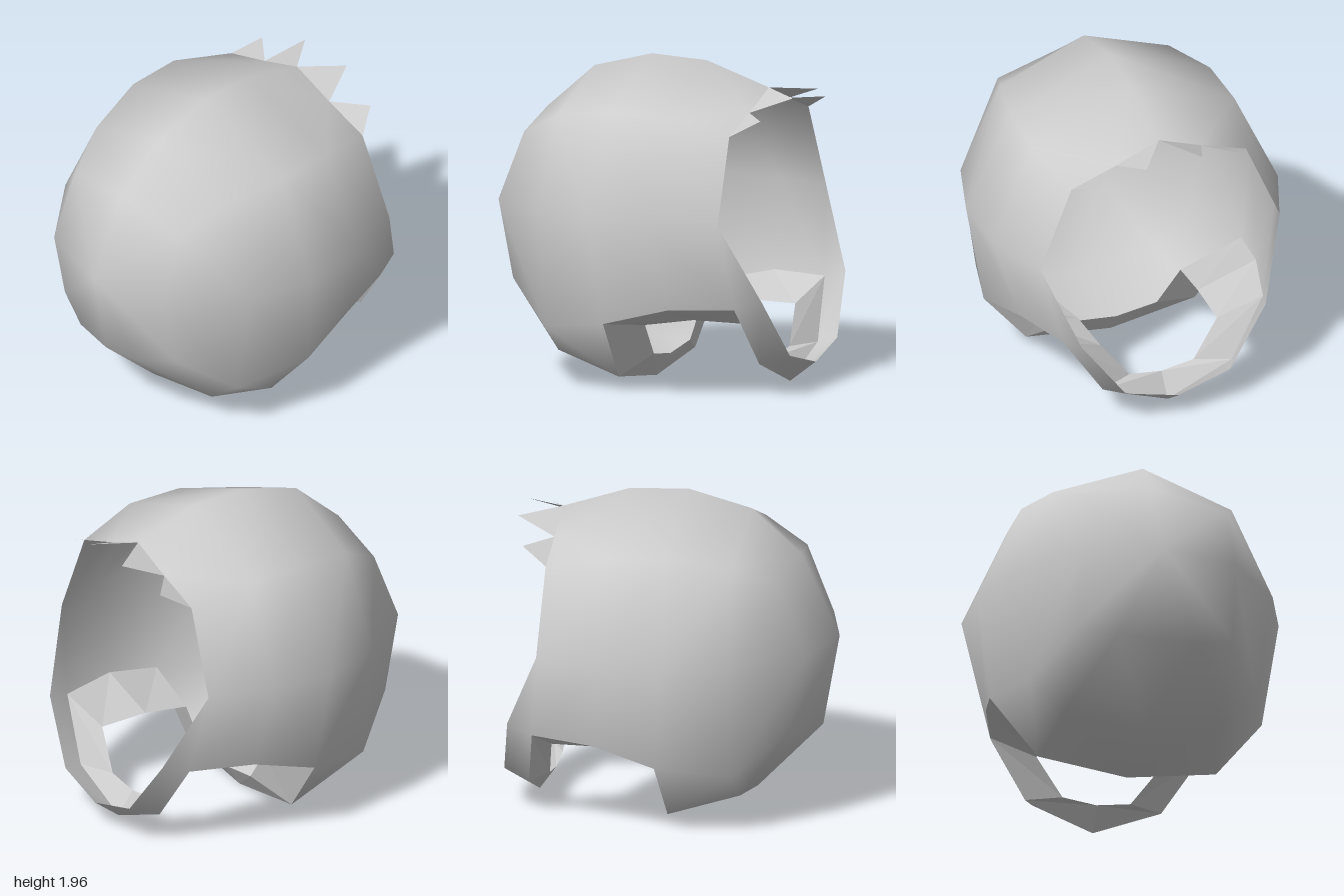
import * as THREE from 'three';
import { mergeVertices } from 'three/addons/utils/BufferGeometryUtils.js';

const CENTRE = new THREE.Vector3(0, 1, 0);

// Collects the faces of the +x half, mirrors them and turns them outward.
function mirroredSurface(faces, flat) {
  const positions = [];
  const addTriangle = (pts) => {
    const [a, b, c] = pts.map((p) => new THREE.Vector3(...p));
    const normal = b.clone().sub(a).cross(c.clone().sub(a));
    if (normal.lengthSq() < 1e-10) return;
    const mid = a.clone().add(b).add(c).divideScalar(3).sub(CENTRE);
    const order = normal.dot(mid) < 0 ? [a, c, b] : [a, b, c];
    order.forEach((v) => positions.push(v.x, v.y, v.z));
  };
  const mirror = ([x, y, z]) => [-x, y, z];
  for (const face of faces) {
    for (let i = 1; i < face.length - 1; i++) {
      const tri = [face[0], face[i], face[i + 1]];
      addTriangle(tri);
      addTriangle(tri.map(mirror));
    }
  }
  let geometry = new THREE.BufferGeometry();
  geometry.setAttribute('position', new THREE.Float32BufferAttribute(positions, 3));
  if (!flat) geometry = mergeVertices(geometry, 1e-4);
  geometry.computeVertexNormals();
  return geometry;
}

// Quads between two equally long rows of points
function strip(a, b) {
  const faces = [];
  for (let i = 0; i < Math.min(a.length, b.length) - 1; i++) {
    faces.push([a[i], a[i + 1], b[i + 1], b[i]]);
  }
  return faces;
}

export function createModel() {
  const group = new THREE.Group();
  const shellGrey = new THREE.MeshStandardMaterial({ color: 0xcccccc, side: THREE.DoubleSide });
  shellGrey.name = 'shellGrey';

  // Neck opening: outer edge and inner edge, from the closed side to the chin
  const neckOuter = [
    [0, 0, 0.05], [0.55, 0.08, 0.05], [0.84, 0.45, 0.02], [0.77, 0.55, -0.37],
    [0.65, 0.56, -0.76], [0.42, 0.2, -0.82], [0, 0.03, -0.83],
  ];
  const neckInner = [
    [0, 0.14, -0.04], [0.26, 0.18, -0.05], [0.41, 0.38, -0.06], [0.39, 0.43, -0.37],
    [0.38, 0.43, -0.69], [0.21, 0.2, -0.73], [0, 0.17, -0.73],
  ];

  // Cross-section rows of the dome, each running from crown to base
  const nose = [0, 1.09, 1.0];
  const rows = [
    [[0, 1.59, 0.77], [0.45, 1.51, 0.72], [0.47, 1.09, 0.88],
      [0.48, 0.62, 0.78], [0.25, 0.55, 0.87], [0, 0.53, 0.9]],
    [[0, 1.86, 0.46], [0.55, 1.65, 0.45], [0.8, 1.09, 0.47],
      [0.7, 0.38, 0.47], [0.48, 0.2, 0.48], [0, 0.12, 0.5]],
    [[0, 1.96, 0.08], [0.65, 1.71, 0.05], [0.93, 1.09, 0.08],
      neckOuter[2], neckOuter[1], neckOuter[0]],
    [[0, 1.945, -0.28], [0.66, 1.7, -0.3], [0.93, 1.09, -0.33], neckOuter[3]],
  ];

  // Edge of the large opening
  const brow = [[0, 1.81, -0.69], [0.28, 1.7, -0.69], [0.57, 1.6, -0.69]];
  const cheek = [0.78, 1.09, -0.71];
  const jaw = [[0.6, 0.61, -0.92], [0.34, 0.25, -0.985], [0, 0.16, -1]];

  const faces = [];
  for (let i = 0; i < rows[0].length - 1; i++) faces.push([nose, rows[0][i], rows[0][i + 1]]);
  for (let i = 0; i < rows.length - 1; i++) faces.push(...strip(rows[i], rows[i + 1]));

  // Last row joins the brow, the cheek and the neck edge
  const last = rows[3];
  faces.push(
    [last[0], brow[0], brow[1]],
    [last[0], brow[1], last[1]],
    [last[1], brow[1], brow[2]],
    [last[1], brow[2], cheek, last[2]],
    [last[2], cheek, neckOuter[4], last[3]],
  );

  // Chin band
  faces.push([cheek, jaw[0], neckOuter[4]]);
  faces.push(...strip(jaw, neckOuter.slice(4)));

  const shell = new THREE.Mesh(mirroredSurface(faces, false), shellGrey);
  shell.name = 'shell';
  group.add(shell);

  // Jagged points along the brow
  const tips = [[0.18, 1.79, -0.93], [0.47, 1.69, -0.85]];
  const points = tips.map((tip, i) => [brow[i], tip, brow[i + 1]]);
  const fringe = new THREE.Mesh(mirroredSurface(points, true), shellGrey);
  fringe.name = 'fringe';
  group.add(fringe);

  // Faceted rim turned in around the neck
  const rim = new THREE.Mesh(mirroredSurface(strip(neckOuter, neckInner), true), shellGrey);
  rim.name = 'neckRim';
  group.add(rim);

  return group;
}
